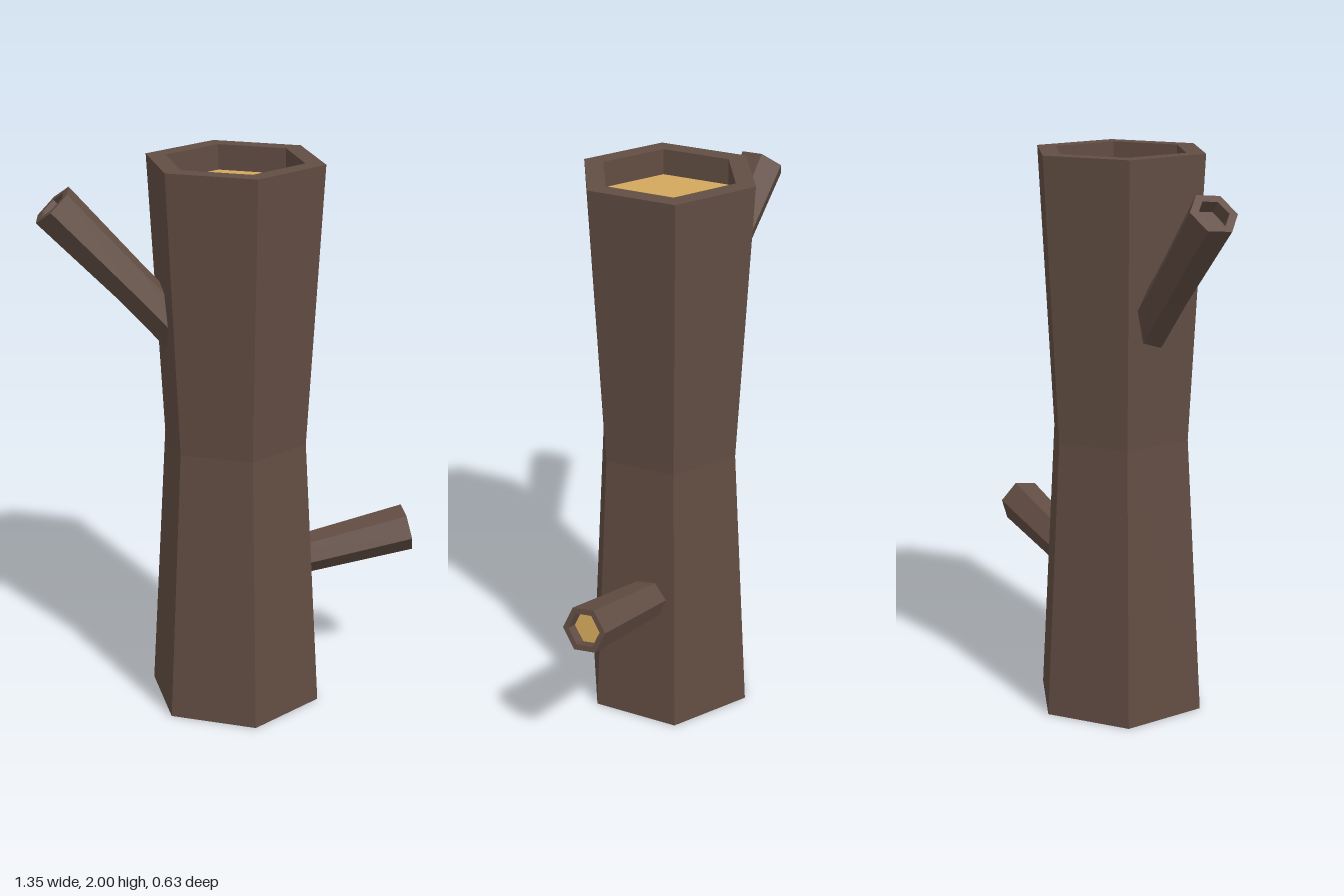
import * as THREE from 'three';

const SIDES = 6;

export function createModel() {
  const bark = new THREE.MeshStandardMaterial({ color: 0x624d43 });
  bark.name = 'bark';
  const wood = new THREE.MeshStandardMaterial({ color: 0xd2a85c });
  wood.name = 'cut wood';

  const model = new THREE.Group();
  model.name = 'log';

  function add(parent, name, geometry, material) {
    const mesh = new THREE.Mesh(geometry, material);
    mesh.name = name;
    parent.add(mesh);
    return mesh;
  }

  // Faceted normals for a geometry
  function faceted(geometry) {
    const flat = geometry.index ? geometry.toNonIndexed() : geometry;
    flat.computeVertexNormals();
    return flat;
  }

  // Trunk: waisted six-sided shell with a recess at each end
  const cx = -0.01, outer = 0.317, waist = 0.26, inner = 0.245, depth = 0.09;
  const profile = [
    [inner, depth], [inner, 0], [outer, 0], [waist, 1],
    [outer, 2], [inner, 2], [inner, 2 - depth],
  ].map(([r, y]) => new THREE.Vector2(r, y));
  const trunk = new THREE.Group();
  trunk.name = 'trunk';
  trunk.position.x = cx;
  model.add(trunk);
  add(trunk, 'trunkBark', faceted(new THREE.LatheGeometry(profile, SIDES)), bark);

  // Pale wood at the bottom of both recesses
  for (const [name, y, turn] of [['topWood', 2 - depth, -1], ['bottomWood', depth, 1]]) {
    const disc = new THREE.CircleGeometry(inner, SIDES, Math.PI / 2);
    disc.rotateX(turn * Math.PI / 2);
    add(trunk, name, disc, wood).position.y = y;
  }

  // Branch: rings along a path, then a rim, a short hollow and its floor
  function branch(name, path, radii, holeRadius, holeDepth, twist, floorMaterial) {
    const points = path.map((p) => new THREE.Vector3(...p));
    const tip = points[points.length - 1];
    const dir = tip.clone().sub(points[points.length - 2]).normalize();
    const v = new THREE.Vector3(0, 0, 1).addScaledVector(dir, -dir.z).normalize();
    const u = new THREE.Vector3().crossVectors(dir, v);
    const floor = tip.clone().addScaledVector(dir, -holeDepth);

    const ring = (center, r) => Array.from({ length: SIDES }, (_, i) => {
      const a = twist + (i / SIDES) * Math.PI * 2;
      return center.clone()
        .addScaledVector(v, r * Math.cos(a))
        .addScaledVector(u, r * Math.sin(a));
    });
    const rings = points.map((p, i) => ring(p, radii[i]));
    rings.push(ring(tip, holeRadius), ring(floor, holeRadius));

    const shell = [], cap = [];
    const last = rings[rings.length - 1];
    for (let i = 0; i < SIDES; i++) {
      const j = (i + 1) % SIDES;
      for (let k = 0; k < rings.length - 1; k++) {
        const a = rings[k], b = rings[k + 1];
        shell.push(a[i], a[j], b[j], a[i], b[j], b[i]);
      }
      cap.push(floor, last[i], last[j]);
    }
    const build = (pts) => faceted(new THREE.BufferGeometry().setFromPoints(pts));

    const group = new THREE.Group();
    group.name = name;
    add(group, name + 'Bark', build(shell), bark);
    add(group, name + 'End', build(cap), floorMaterial);
    model.add(group);
  }

  // Upper branch bends upwards, lower branch is nearly level
  branch('upperBranch',
    [[-0.2, 1.4, -0.025], [-0.36, 1.575, -0.04], [-0.623, 1.86, -0.073]],
    [0.077, 0.074, 0.085], 0.055, 0.05, -0.22, bark);
  branch('lowerBranch',
    [[0.18, 0.485, -0.048], [0.645, 0.585, -0.003]],
    [0.069, 0.085], 0.063, 0.04, 0.14, wood);

  return model;
}
